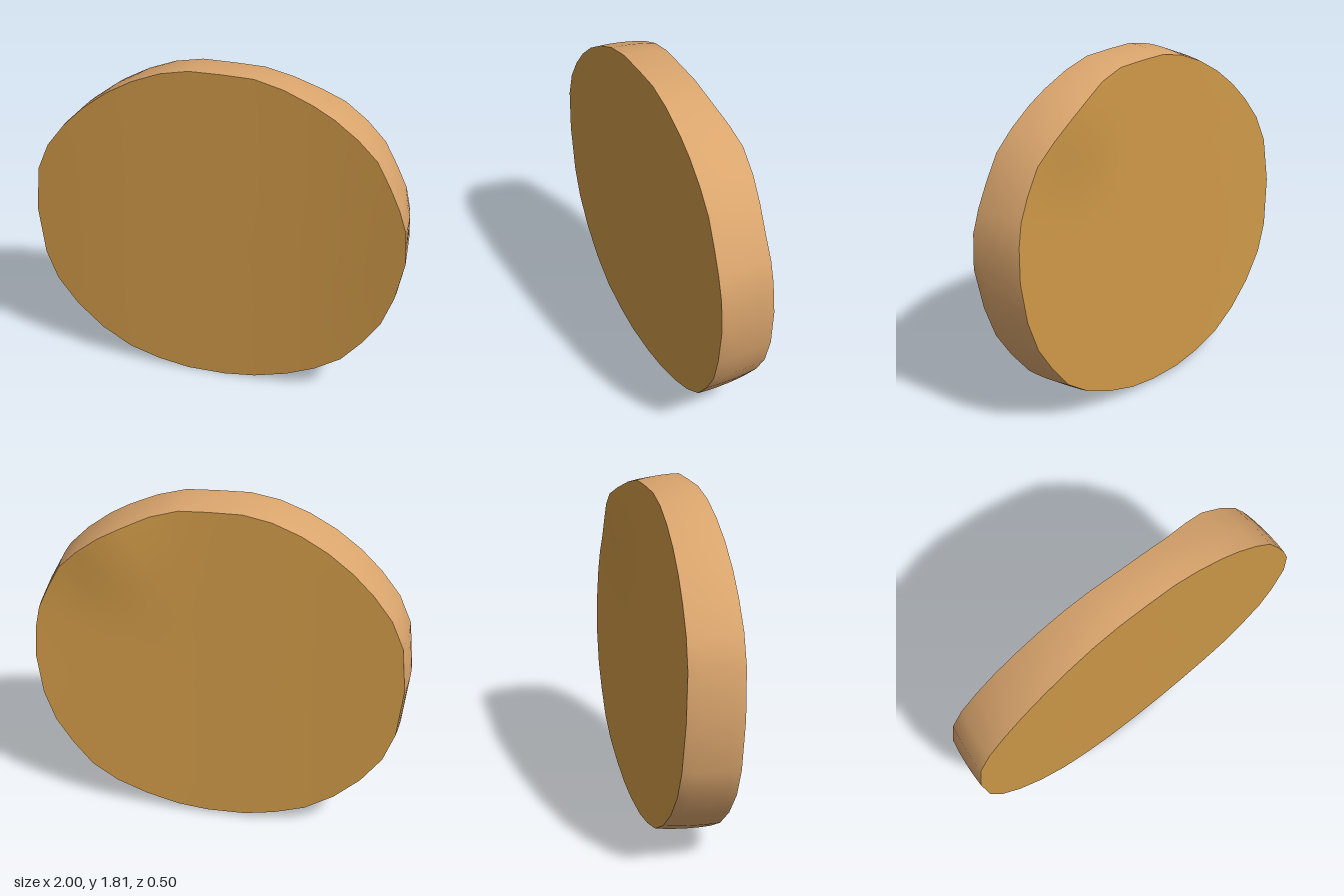
import * as THREE from 'three';

const MID = 0.905;
// outline of the slice, counter-clockwise from its left side (x, y)
const OUTLINE = [
  [1, 0.9], [0.99, 1.08], [0.965, 1.2], [0.91, 1.32], [0.84, 1.45], [0.74, 1.55], [0.62, 1.64],
  [0.5, 1.7], [0.35, 1.765], [0.2, 1.805], [0.04, 1.81], [-0.13, 1.81], [-0.28, 1.78], [-0.43, 1.72],
  [-0.57, 1.64], [-0.7, 1.54], [-0.81, 1.43], [-0.91, 1.3], [-0.975, 1.15], [-1, 0.9], [-0.97, 0.63],
  [-0.91, 0.47], [-0.8, 0.32], [-0.66, 0.19], [-0.5, 0.09], [-0.33, 0.035], [-0.16, 0.003], [0.05, 0],
  [0.22, 0.02], [0.4, 0.07], [0.57, 0.14], [0.71, 0.235], [0.82, 0.37], [0.91, 0.51], [0.97, 0.68],
];
const N = OUTLINE.length;

// gently warped, tilted cut surfaces
const frontZ = (x, y) => 0.128 + 0.074 * x + 0.0145 * x * x + 0.0335 * x ** 3 + 0.022 * (y - MID);
const backZ = (x, y) => -0.125 + 0.103 * x - 0.023 * x * x + 0.05 * (y - MID)
  - 0.045 * Math.exp(-((x - 0.62) ** 2 + (y - 1.6) ** 2) / 0.06);

// the front edge is pulled in a little on the left diagonals, the back edge is smaller overall
const frontRing = OUTLINE.map(([x, y]) => [x > 0.5 && Math.abs(y - MID) > 0.2 ? x - 0.014 : x, y]);
const backRing = OUTLINE.map(([x, y]) => [0.975 * x + 0.025, MID + 0.975 * (y - MID)]);

function build(positions, index) {
  const g = new THREE.BufferGeometry();
  g.setAttribute('position', new THREE.Float32BufferAttribute(positions, 3));
  g.setIndex(index);
  g.computeVertexNormals();
  return g;
}

// joins consecutive closed rings of N points into quads
function joinRings(index, rings, flip) {
  for (let r = 0; r < rings - 1; r++) {
    for (let i = 0; i < N; i++) {
      const a = r * N + i, b = r * N + (i + 1) % N, c = a + N, d = b + N;
      if (flip) index.push(a, b, c, b, d, c);
      else index.push(a, c, b, b, c, d);
    }
  }
}

// cut face: concentric copies of its edge around a centre point
function faceGeometry(ring, zAt, isBack) {
  const pos = [], index = [], rings = 6;
  for (let r = 0; r < rings; r++) {
    const s = 1 - r / rings;
    for (const [px, py] of ring) {
      const x = px * s, y = MID + (py - MID) * s;
      pos.push(x, y, zAt(x, y));
    }
  }
  pos.push(0, MID, zAt(0, MID));
  joinRings(index, rings, !isBack);
  const last = (rings - 1) * N, centre = rings * N;
  for (let i = 0; i < N; i++) {
    const a = last + i, b = last + (i + 1) % N;
    if (isBack) index.push(a, centre, b);
    else index.push(a, b, centre);
  }
  return build(pos, index);
}

// outer rim: a slightly bulging band from the front edge to the back edge
function rimGeometry() {
  const pos = [], index = [], rings = 6;
  for (let r = 0; r < rings; r++) {
    const t = r / (rings - 1);
    for (let i = 0; i < N; i++) {
      const [fx, fy] = frontRing[i], [bx, by] = backRing[i];
      const bulge = 1 + 0.03 * t * (1 - t);
      const x = THREE.MathUtils.clamp((fx + (bx - fx) * t) * bulge, -1, 1);
      const y = Math.max(0, MID + (fy + (by - fy) * t - MID) * bulge);
      const z = THREE.MathUtils.lerp(frontZ(fx, fy), backZ(bx, by), t);
      pos.push(x, y, z);
    }
  }
  joinRings(index, rings, false);
  return build(pos, index);
}

export function createModel() {
  const cut = new THREE.MeshStandardMaterial({ color: 0xcb9646 });
  cut.name = 'golden brown';
  const edge = new THREE.MeshStandardMaterial({ color: 0xdaa56d });
  edge.name = 'light tan';

  const model = new THREE.Group();
  model.name = 'roundSlice';
  const add = (name, geometry, material) => {
    const mesh = new THREE.Mesh(geometry, material);
    mesh.name = name;
    model.add(mesh);
  };
  add('frontFace', faceGeometry(frontRing, frontZ, false), cut);
  add('backFace', faceGeometry(backRing, backZ, true), cut);
  add('rim', rimGeometry(), edge);
  return model;
}
